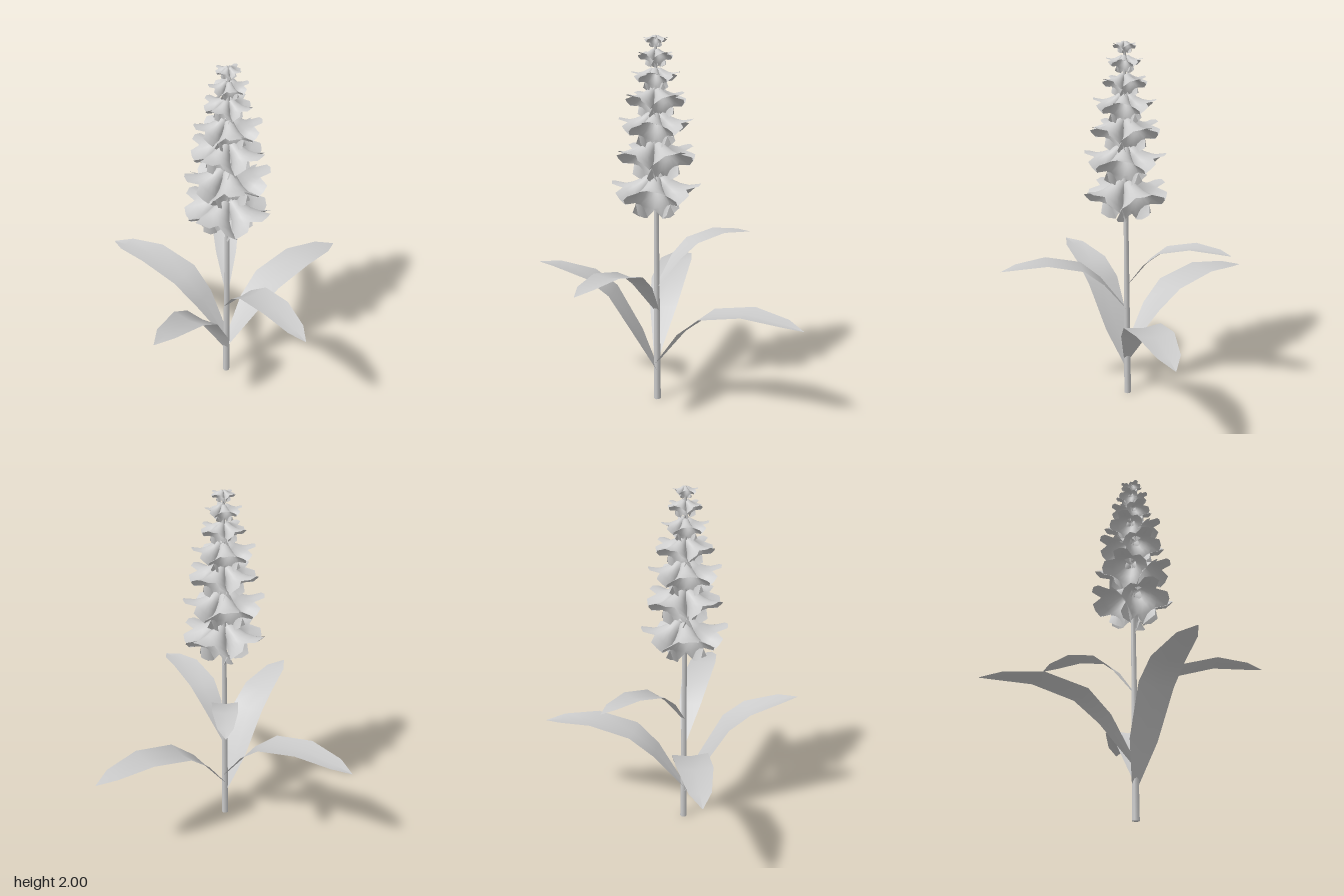
import * as THREE from 'three';
import { mergeVertices } from 'three/addons/utils/BufferGeometryUtils.js';

const material = new THREE.MeshStandardMaterial({ color: 0xcccccc, side: THREE.DoubleSide });

// Leaf spines from stem to tip as [reach, height], and the half widths they share
const archedSpine = [[0, 0], [0.2, 0.265], [0.36, 0.4], [0.64, 0.465], [0.88, 0.44], [1, 0.41]];
const uprightSpine = [[0, 0], [0.12, 0.245], [0.3, 0.543], [0.45, 0.652], [0.685, 0.713], [0.81, 0.72]];
const halfWidths = [0.024, 0.095, 0.12, 0.114, 0.07, 0.002];

// Blade reaching along +z with a shallow channel down the middle
function leafGeometry(spine) {
  const positions = [], index = [];
  spine.forEach(([z, y], i) => {
    const w = halfWidths[i];
    for (const s of [-1, 0, 1]) positions.push(s * w, y - (s === 0 ? 0.15 * w : 0), z);
    if (i === 0) return;
    for (let j = 0; j < 2; j++) {
      const a = (i - 1) * 3 + j, b = a + 3;
      index.push(a, b, a + 1, a + 1, b, b + 1);
    }
  });
  const geometry = new THREE.BufferGeometry();
  geometry.setAttribute('position', new THREE.Float32BufferAttribute(positions, 3));
  geometry.setIndex(index);
  geometry.computeVertexNormals();
  return geometry;
}

// Bell opening along +y, its rim cut into five square-tipped petals
function floretGeometry() {
  const profile = [[0.002, 0], [0.03, 0.008], [0.042, 0.05], [0.062, 0.095], [0.088, 0.132], [0.14, 0.168]];
  const segments = 20, rings = profile.length;
  let geometry = new THREE.LatheGeometry(profile.map(([r, y]) => new THREE.Vector2(r, y)), segments);
  const p = geometry.attributes.position;
  for (let i = 0; i <= segments; i++) {
    const k = i * rings + rings - 1;
    const step = i % 4;
    // notches between petals pull the rim inward
    const r = [0.093, 0.138, 0.144, 0.138][step];
    const angle = (i / segments) * Math.PI * 2;
    p.setXYZ(k, r * Math.sin(angle), step === 0 ? 0.138 : 0.168, r * Math.cos(angle));
  }
  geometry.deleteAttribute('uv');
  geometry.deleteAttribute('normal');
  geometry = mergeVertices(geometry, 1e-5);
  geometry.computeVertexNormals();
  return geometry;
}

export function createModel() {
  const plant = new THREE.Group();
  plant.name = 'floweringPlant';
  const center = new THREE.Group();
  center.name = 'plantAxis';
  center.position.set(0.1, 0, 0.065);
  plant.add(center);

  // Stem
  const stem = new THREE.Mesh(new THREE.CylinderGeometry(0.007, 0.02, 1.98, 8), material);
  stem.name = 'stem';
  stem.position.y = 0.99;
  center.add(stem);

  // Leaves: shape, base height, direction x and z, scale
  const arched = leafGeometry(archedSpine);
  const upright = leafGeometry(uprightSpine);
  [
    [upright, 0.18, 0, 1, 0.82],
    [arched, 0.28, -0.83, -0.02, 0.83],
    [arched, 0.22, 0.27, -0.795, 0.845],
    [arched, 0.525, 0.63, 0.265, 0.685],
    [arched, 0.665, -0.34, -0.48, 0.59],
  ].forEach(([shape, y, dx, dz, size], i) => {
    const mesh = new THREE.Mesh(shape, material);
    mesh.name = `leaf${i + 1}`;
    mesh.position.y = y;
    mesh.rotation.y = Math.atan2(dx, dz);
    mesh.scale.setScalar(size);
    center.add(mesh);
  });

  // Flower spike: tiers of four drooping bells, every other tier turned by 45 degrees
  const floret = floretGeometry();
  [
    [1.268, 1], [1.45, 0.92], [1.6, 0.82], [1.725, 0.7],
    [1.828, 0.52], [1.922, 0.4], [1.992, 0.27],
  ].forEach(([y, size], tier) => {
    const whorl = new THREE.Group();
    whorl.name = `flowerTier${tier + 1}`;
    whorl.position.y = y;
    whorl.scale.setScalar(size);
    for (let i = 0; i < 4; i++) {
      const yaw = (i + (tier % 2) / 2) * Math.PI / 2;
      const bell = new THREE.Mesh(floret, material);
      bell.name = 'floret';
      bell.position.set(0.02 * Math.sin(yaw), 0, 0.02 * Math.cos(yaw));
      bell.rotation.set(THREE.MathUtils.degToRad(137), yaw, 0, 'YXZ');
      whorl.add(bell);
    }
    center.add(whorl);
  });

  return plant;
}
